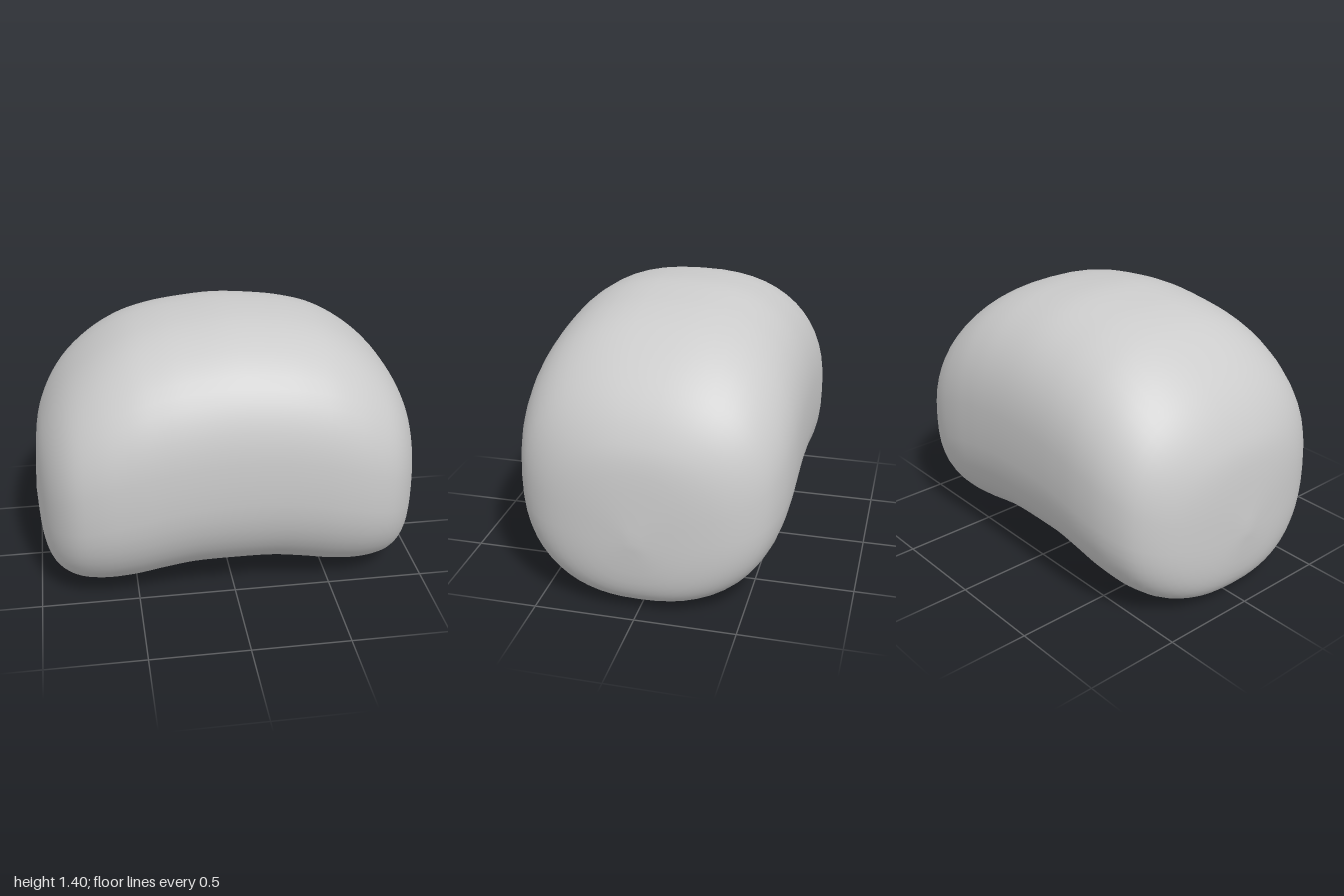
import * as THREE from 'three';

// Half profile from the middle to the left end: x, top y, bottom y, half depth
const PROFILE = [
  [0, 1.415, 0.075, 0.685],
  [0.2, 1.4, 0.072, 0.685],
  [0.36, 1.375, 0.05, 0.685],
  [0.52, 1.325, 0.022, 0.68],
  [0.68, 1.23, 0.012, 0.655],
  [0.82, 1.1, 0.03, 0.59],
  [0.92, 0.945, 0.085, 0.455],
  [0.975, 0.77, 0.2, 0.26],
  [1, 0.43, 0.43, 0],
];
const RINGS = 64;
const SIDES = 56;

// Smooth curve of one profile column over the full mirrored width
function column(index) {
  const mirrored = PROFILE.slice(1).reverse().map((p) => [-p[0], p[index]]);
  const right = PROFILE.map((p) => [p[0], p[index]]);
  return new THREE.SplineCurve([...mirrored, ...right].map((p) => new THREE.Vector2(...p)));
}

// Bean body: rounded-square cross-sections swept from end to end
function bodyGeometry() {
  const [top, bottom, depth] = [1, 2, 3].map(column);
  const round = (v) => Math.sign(v) * Math.abs(v) ** (2 / 2.45);
  const positions = [-1, 0.43, 0];
  const indices = [];

  for (let i = 1; i < RINGS; i++) {
    const t = i / RINGS;
    const { x, y: high } = top.getPoint(t);
    const low = bottom.getPoint(t).y;
    const d = depth.getPoint(t).y;
    for (let j = 0; j < SIDES; j++) {
      const a = (j / SIDES) * Math.PI * 2;
      positions.push(x, (high + low) / 2 + ((high - low) / 2) * round(Math.cos(a)), d * round(Math.sin(a)));
    }
  }
  positions.push(1, 0.43, 0);
  const last = positions.length / 3 - 1;
  const at = (ring, j) => 1 + (ring - 1) * SIDES + (j % SIDES);

  for (let j = 0; j < SIDES; j++) {
    // End caps
    indices.push(0, at(1, j + 1), at(1, j));
    indices.push(last, at(RINGS - 1, j), at(RINGS - 1, j + 1));
    // Side wall
    for (let i = 1; i < RINGS - 1; i++) {
      const a = at(i, j), b = at(i, j + 1), c = at(i + 1, j), d = at(i + 1, j + 1);
      indices.push(a, b, c, b, d, c);
    }
  }

  const geometry = new THREE.BufferGeometry();
  geometry.setAttribute('position', new THREE.Float32BufferAttribute(positions, 3));
  geometry.setIndex(indices);
  geometry.computeVertexNormals();
  return geometry;
}

export function createModel() {
  const group = new THREE.Group();
  group.name = 'bean';
  const body = new THREE.Mesh(bodyGeometry(), new THREE.MeshStandardMaterial({ color: 0xcccccc }));
  body.name = 'body';
  group.add(body);
  return group;
}
